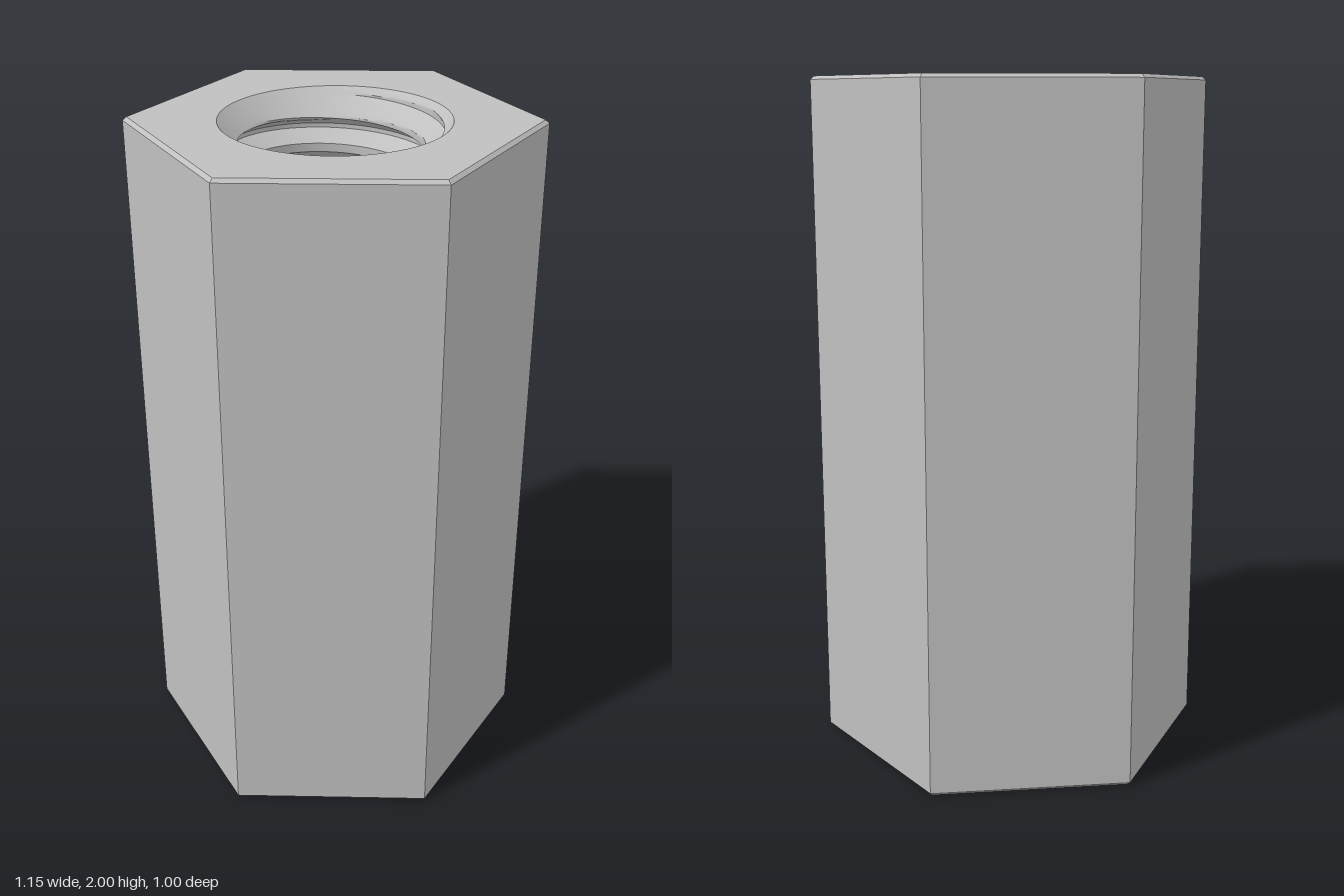
import * as THREE from 'three';
import { toCreasedNormals } from 'three/addons/utils/BufferGeometryUtils.js';

const HEIGHT = 2, CORNER = 0.577, CHAMFER = 0.01;
const MINOR = 0.247, MAJOR = 0.302, RIM = 0.32, PITCH = 0.1;
const SEGMENTS = 72, STEPS = 16;

// Thread radius over one pitch: flat crest, flank, flat root, flank
function threadRadius(step) {
  if (step <= 4) return MINOR;
  if (step <= 9) return MINOR + (MAJOR - MINOR) * (step - 4) / 5;
  if (step <= 11) return MAJOR;
  return MAJOR - (MAJOR - MINOR) * (step - 11) / 5;
}

// Helical bore, opened by a 45 degree countersink at both ends
function threadedBore() {
  const positions = [];
  const firstRow = -STEPS, lastRow = Math.round(HEIGHT / PITCH) * STEPS;
  const point = (row, seg) => {
    const turn = seg / SEGMENTS, angle = turn * Math.PI * 2;
    const y = THREE.MathUtils.clamp((row / STEPS + turn) * PITCH, 0, HEIGHT);
    const step = ((row % STEPS) + STEPS) % STEPS;
    const sink = RIM - Math.min(y, HEIGHT - y);
    const r = y === 0 || y === HEIGHT ? RIM : Math.max(threadRadius(step), sink);
    return new THREE.Vector3(Math.cos(angle) * r, y, -Math.sin(angle) * r);
  };
  const triangle = (a, b, c) => {
    if (a.distanceTo(b) < 1e-6 || b.distanceTo(c) < 1e-6 || c.distanceTo(a) < 1e-6) return;
    if (a.y === b.y && b.y === c.y) return;
    positions.push(...a.toArray(), ...b.toArray(), ...c.toArray());
  };
  for (let row = firstRow; row < lastRow; row++) {
    for (let seg = 0; seg < SEGMENTS; seg++) {
      const a = point(row, seg), b = point(row, seg + 1);
      const c = point(row + 1, seg + 1), d = point(row + 1, seg);
      triangle(a, d, b);
      triangle(b, d, c);
    }
  }
  const geometry = new THREE.BufferGeometry();
  geometry.setAttribute('position', new THREE.Float32BufferAttribute(positions, 3));
  return toCreasedNormals(geometry, 0.5);
}

// Hexagonal end face with a round opening
function endFace() {
  const ring = (radius, sides) => Array.from({ length: sides }, (_, i) => {
    const a = (i / sides) * Math.PI * 2;
    return new THREE.Vector2(Math.cos(a) * radius, Math.sin(a) * radius);
  });
  const shape = new THREE.Shape(ring(CORNER - CHAMFER * 1.155, 6));
  shape.holes.push(new THREE.Path(ring(RIM, SEGMENTS).reverse()));
  return new THREE.ShapeGeometry(shape);
}

export function createModel() {
  const group = new THREE.Group();
  group.name = 'hexCouplingNut';
  const steel = new THREE.MeshStandardMaterial({ color: 0xc0c0c0 });
  steel.name = 'steel';
  const add = (name, geometry) => {
    const mesh = new THREE.Mesh(geometry, steel);
    mesh.name = name;
    group.add(mesh);
    return mesh;
  };

  // Six flat sides with small chamfers at both ends
  const inner = CORNER - CHAMFER * 1.155;
  const profile = [[inner, 0], [CORNER, CHAMFER], [CORNER, HEIGHT - CHAMFER], [inner, HEIGHT]]
    .map(([r, y]) => new THREE.Vector2(r, y));
  const sides = new THREE.LatheGeometry(profile, 6, Math.PI / 2).toNonIndexed();
  sides.computeVertexNormals();
  add('hexSides', sides);

  // End faces
  const top = add('topFace', endFace());
  top.rotation.x = -Math.PI / 2;
  top.position.y = HEIGHT;
  add('bottomFace', endFace()).rotation.x = Math.PI / 2;

  add('threadedBore', threadedBore());
  return group;
}
